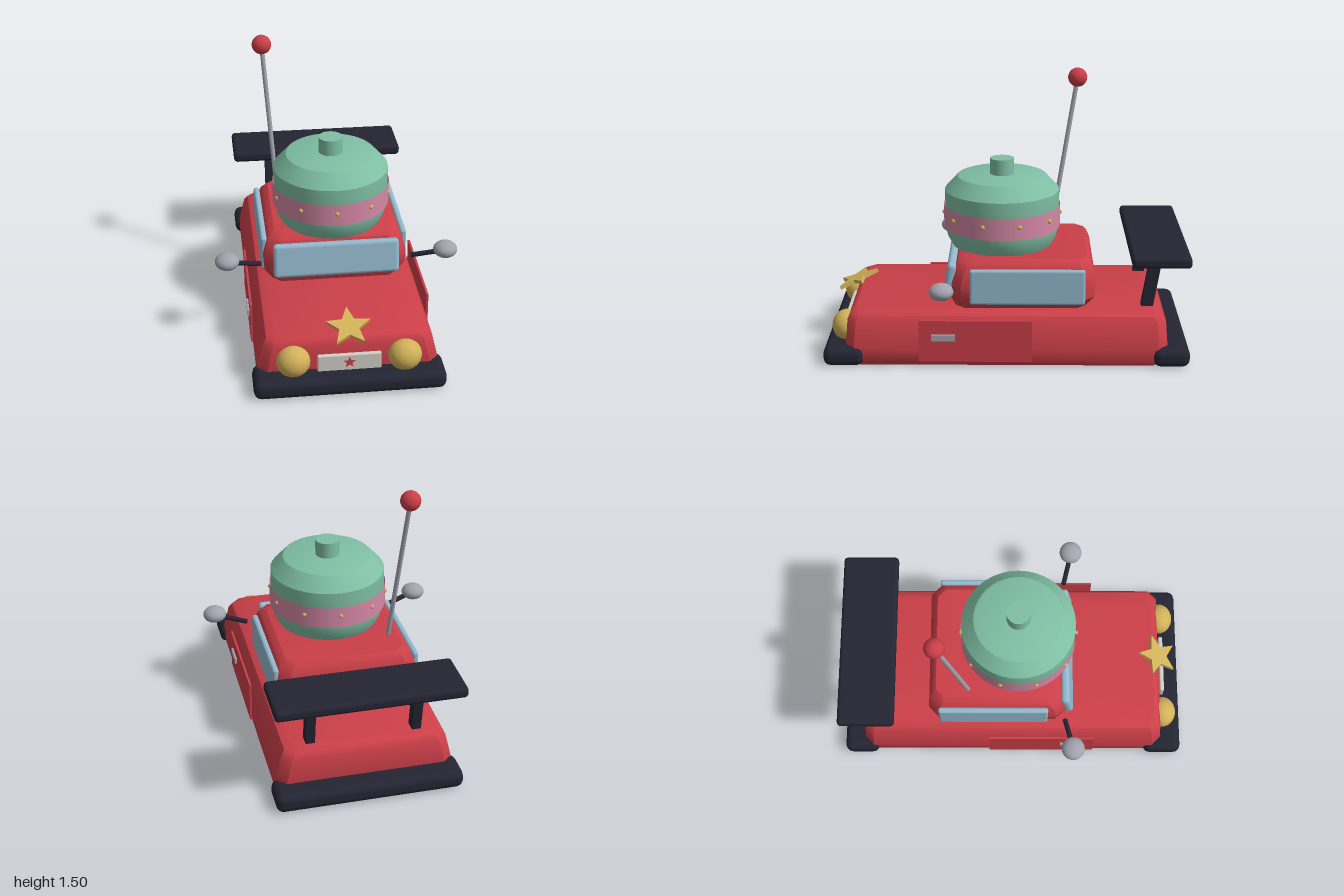
import * as THREE from 'three';
import { toCreasedNormals } from 'three/addons/utils/BufferGeometryUtils.js';
import { RoundedBoxGeometry } from 'three/addons/geometries/RoundedBoxGeometry.js';

const paint = (name, color, side = THREE.FrontSide) => {
  const m = new THREE.MeshStandardMaterial({ color, side });
  m.name = name;
  return m;
};

// Solid from stacked chamfered rectangles: [y, halfWidth, backZ, frontZ, cornerChamfer]
function stackedSolid(rings) {
  const pos = [], index = [], n = 8;
  for (const [y, hx, z0, z1, c] of rings) {
    for (const [x, z] of [
      [hx, z0 + c], [hx, z1 - c], [hx - c, z1], [c - hx, z1],
      [-hx, z1 - c], [-hx, z0 + c], [c - hx, z0], [hx - c, z0],
    ]) pos.push(x, y, z);
  }
  const top = (rings.length - 1) * n;
  for (let r = 0; r < top; r += n) {
    for (let j = 0; j < n; j++) {
      const k = (j + 1) % n;
      index.push(r + j, r + n + j, r + n + k, r + j, r + n + k, r + k);
    }
  }
  for (let j = 1; j < n - 1; j++) {
    index.push(0, j, j + 1, top, top + j + 1, top + j);
  }
  const g = new THREE.BufferGeometry();
  g.setAttribute('position', new THREE.Float32BufferAttribute(pos, 3));
  g.setIndex(index);
  return toCreasedNormals(g, 0.6);
}

function starGeometry(outer, inner, depth) {
  const pts = [];
  for (let i = 0; i < 10; i++) {
    const a = Math.PI / 2 + i * Math.PI / 5, r = i % 2 ? inner : outer;
    pts.push(new THREE.Vector2(Math.cos(a) * r, Math.sin(a) * r));
  }
  const g = new THREE.ExtrudeGeometry(new THREE.Shape(pts), { depth, bevelEnabled: false });
  return g.translate(0, 0, -depth / 2);
}

export function createModel() {
  const model = new THREE.Group();
  const red = paint('body red', 0xcb3f48);
  const black = paint('trim black', 0x242533);
  const glass = paint('window blue', 0x94b9ce);
  const green = paint('tank green', 0x7fbfa4);
  const pink = paint('band pink', 0xd488a4, THREE.DoubleSide);
  const gold = paint('lamp gold', 0xd2b25a);
  const grey = paint('metal grey', 0xa3a3af);
  const white = paint('plate white', 0xd3d0c8);

  const add = (name, geometry, material, x = 0, y = 0, z = 0) => {
    const mesh = new THREE.Mesh(geometry, material);
    mesh.name = name;
    mesh.position.set(x, y, z);
    model.add(mesh);
    return mesh;
  };
  const rod = (name, from, to, r, material) => {
    const a = new THREE.Vector3(...from), b = new THREE.Vector3(...to);
    const mesh = add(name, new THREE.CylinderGeometry(r, r, a.distanceTo(b), 12), material);
    mesh.position.copy(a).add(b).multiplyScalar(0.5);
    mesh.quaternion.setFromUnitVectors(new THREE.Vector3(0, 1, 0), b.sub(a).normalize());
    return mesh;
  };

  // Body and cabin
  add('body', stackedSolid([
    [0.01, 0.465, -0.85, 0.85, 0.05],
    [0.04, 0.483, -0.87, 0.87, 0.05],
    [0.11, 0.483, -0.88, 0.88, 0.05],
    [0.25, 0.45, -0.87, 0.87, 0.05],
    [0.28, 0.43, -0.85, 0.855, 0.05],
    [0.30, 0.38, -0.82, 0.83, 0.05],
  ]), red);
  add('cabin', stackedSolid([
    [0.295, 0.35, -0.43, 0.28, 0.05],
    [0.36, 0.395, -0.48, 0.305, 0.06],
    [0.44, 0.40, -0.485, 0.31, 0.06],
    [0.50, 0.385, -0.48, 0.295, 0.06],
    [0.55, 0.365, -0.46, 0.27, 0.06],
    [0.575, 0.33, -0.44, 0.22, 0.05],
  ]), red);

  // Windows
  const windshield = add('windshield', new RoundedBoxGeometry(0.70, 0.195, 0.05, 2, 0.022), glass, 0, 0.45, 0.313);
  windshield.rotation.x = -0.17;

  // Bumpers and rear wing
  for (const [name, z] of [['frontBumper', 0.89], ['rearBumper', -0.9]]) {
    add(name, new RoundedBoxGeometry(1.02, 0.105, z > 0 ? 0.22 : 0.2, 2, 0.042), black, 0, 0.0625, z);
  }
  add('rearWing', new RoundedBoxGeometry(1.02, 0.062, 0.32, 2, 0.022), black, 0, 0.61, -0.83);

  // Paired parts
  for (const s of [1, -1]) {
    const side = s > 0 ? 'left' : 'right';
    add(side + 'Window', new RoundedBoxGeometry(0.035, 0.2, 0.63, 2, 0.015), glass, s * 0.393, 0.435, -0.113);
    add(side + 'Door', new THREE.BoxGeometry(0.012, 0.235, 0.615), red, s * 0.488, 0.158, 0.168);
    add(side + 'DoorHandle', new THREE.BoxGeometry(0.014, 0.034, 0.13), grey, s * 0.499, 0.181, 0.343);
    rod(side + 'MirrorArm', [s * 0.42, 0.432, 0.3], [s * 0.57, 0.47, 0.337], 0.014, black);
    add(side + 'Mirror', new THREE.SphereGeometry(1, 24, 16), grey, s * 0.605, 0.484, 0.343).scale.set(0.067, 0.046, 0.066);
    add(side + 'Headlight', new THREE.SphereGeometry(1, 28, 18), gold, s * 0.296, 0.178, 0.888).scale.set(0.09, 0.086, 0.08);
    // Wing strut, leaning backwards
    const strut = add(side + 'WingStrut', new THREE.BoxGeometry(0.05, 0.33, 0.065), black, s * 0.29, 0.44, -0.795);
    strut.rotation.x = -0.16;
  }

  // Front plate and stars
  add('numberPlate', new RoundedBoxGeometry(0.34, 0.12, 0.025, 2, 0.008), white, 0, 0.148, 0.893);
  add('plateStar', starGeometry(0.033, 0.014, 0.006), red, 0, 0.163, 0.908);
  add('hoodStar', starGeometry(0.125, 0.055, 0.022), gold, 0, 0.348, 0.856).rotation.x = -1.186;

  // Roof tank with band, studs and cap
  const tankZ = 0.03;
  const profile = [[0, 0.57], [0.28, 0.57], [0.305, 0.615], [0.32, 0.675], [0.32, 0.885], [0.25, 0.962], [0.235, 0.968], [0, 0.972]]
    .map(p => new THREE.Vector2(...p));
  add('tank', toCreasedNormals(new THREE.LatheGeometry(profile, 40), 0.4), green, 0, 0, tankZ);
  add('tankBand', new THREE.CylinderGeometry(0.327, 0.327, 0.125, 40, 1, true), pink, 0, 0.738, tankZ);
  add('tankCap', new THREE.CylinderGeometry(0.067, 0.067, 0.1, 28), green, 0, 1.01, tankZ);
  for (let i = 0; i < 10; i++) {
    const a = i * Math.PI / 5;
    add('bandStud', new THREE.SphereGeometry(0.013, 10, 8), gold,
      Math.sin(a) * 0.325, 0.747, tankZ + Math.cos(a) * 0.325);
  }

  // Antenna
  rod('antenna', [-0.28, 0.565, -0.255], [-0.343, 1.45, -0.4], 0.013, grey);
  add('antennaBall', new THREE.SphereGeometry(0.055, 24, 16), red, -0.343, 1.45, -0.4);

  return model;
}
